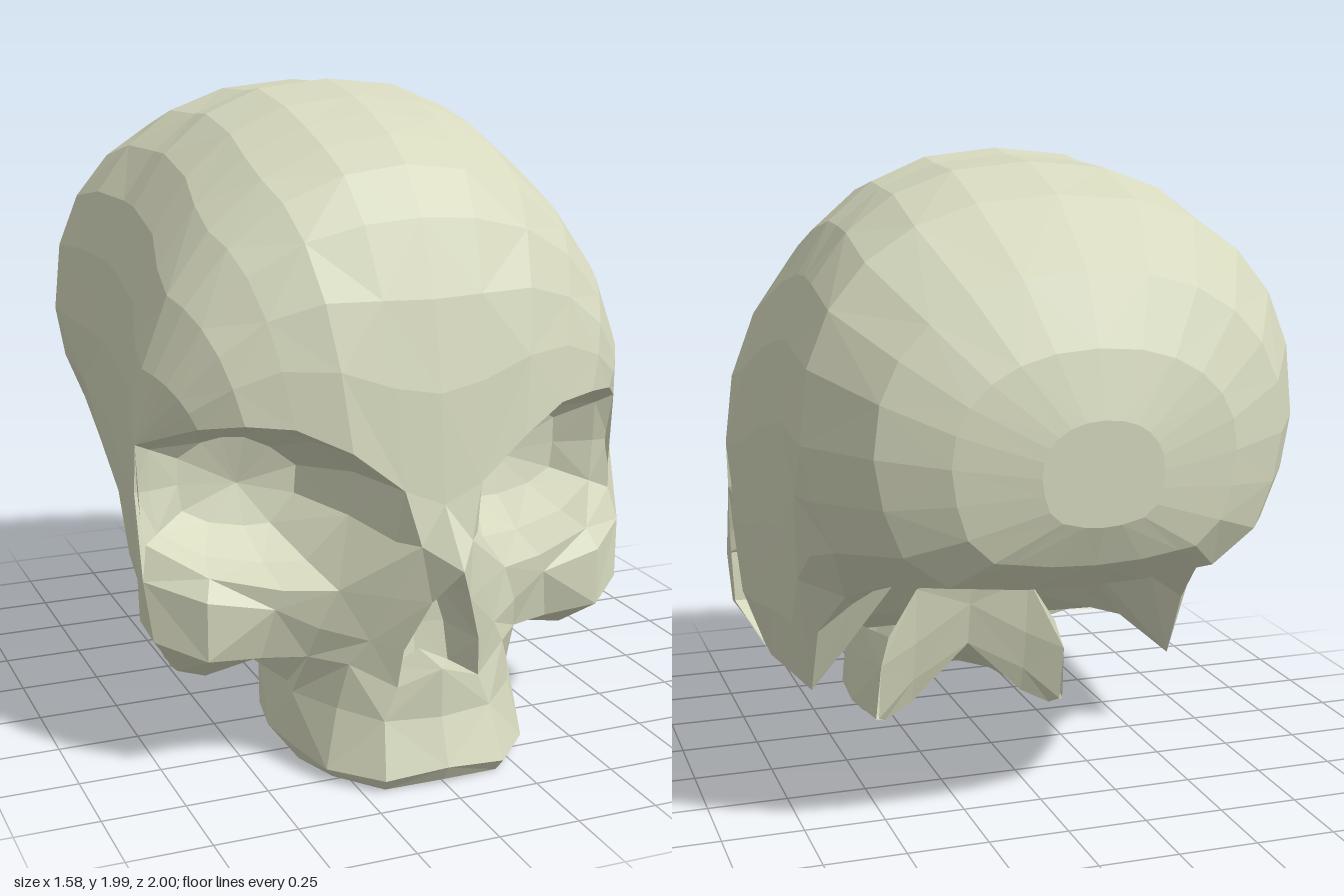
import * as THREE from 'three';

const bone = new THREE.MeshStandardMaterial({ color: 0xd6d9be, flatShading: true, side: THREE.DoubleSide });
const mix = (a, b, t) => a + (b - a) * t;

// Skin a grid of [x, y, z] rows for the +x half and mirror it to the other half
function mirroredSkin(name, rows) {
  const pos = [];
  const tri = (a, b, c) => {
    pos.push(...a, ...b, ...c);
    for (const p of [a, c, b]) pos.push(-p[0], p[1], p[2]);
  };
  for (let i = 0; i + 1 < rows.length; i++) {
    for (let j = 0; j + 1 < rows[i].length; j++) {
      const a = rows[i][j], b = rows[i][j + 1], c = rows[i + 1][j + 1], d = rows[i + 1][j];
      if ((i + j) % 2) { tri(a, d, b); tri(b, d, c); }
      else { tri(a, d, c); tri(a, c, b); }
    }
  }
  const geo = new THREE.BufferGeometry();
  geo.setAttribute('position', new THREE.Float32BufferAttribute(pos, 3));
  geo.computeVertexNormals();
  const mesh = new THREE.Mesh(geo, bone);
  mesh.name = name;
  return mesh;
}

// Upper arc of a coronal section, from the crown down to the widest point
function arc(z, top, w, yw, e) {
  return Array.from({ length: 7 }, (_, i) => {
    const a = i * Math.PI / 12;
    const s = i === 0 ? 0 : Math.sin(a) ** e, c = i === 6 ? 0 : Math.cos(a) ** e;
    return [w * s, yw + (top - yw) * c, z];
  });
}

// Full half section: arc, side wall, lower edge and hollow underside
function section([z, top, w, yw, xb, yb, yc, e]) {
  return [
    ...arc(z, top, w, yw, e),
    [mix(w, xb, 0.12), mix(yw, yb, 0.38), z],
    [mix(w, xb, 0.38), mix(yw, yb, 0.74), z],
    [xb, yb, z],
    [xb * 0.82, mix(yb, yc, 0.25), z],
    [xb * 0.45, mix(yb, yc, 0.8), z],
    [0, yc, z],
  ];
}

// z, crown y, half width, y of widest point, lower edge x and y, underside y, roundness
const sections = [
  [-1.00, 1.30, 0.18, 1.15, 0.12, 1.02, 1.00, 0.9],
  [-0.95, 1.49, 0.42, 1.18, 0.30, 0.91, 0.88, 0.9],
  [-0.85, 1.69, 0.61, 1.20, 0.40, 0.82, 0.79, 0.88],
  [-0.61, 1.88, 0.76, 1.20, 0.52, 0.77, 0.80, 0.85],
  [-0.36, 1.96, 0.75, 1.20, 0.58, 0.67, 0.84, 0.85],
  [-0.15, 1.97, 0.72, 1.18, 0.62, 0.50, 0.82, 0.85],
  [-0.04, 1.985, 0.72, 1.15, 0.62, 0.27, 0.78, 0.85],
  [0.18, 1.95, 0.73, 1.10, 0.65, 0.27, 0.58, 0.88],
  [0.32, 1.91, 0.77, 1.02, 0.68, 0.28, 0.42, 0.94],
  [0.45, 1.86, 0.79, 1.00, 0.68, 0.29, 0.30, 1.0],
];

// Brow edge from the middle outward
const brow = [
  [0, 0.85, 0.87], [0.12, 0.9, 0.86], [0.27, 1.02, 0.84], [0.42, 1.09, 0.78],
  [0.55, 1.1, 0.73], [0.66, 1.08, 0.64], [0.79, 1.0, 0.45],
];

// Lower rim of the eye socket from the outside inward
const lowerRim = [
  [0.79, 0.85, 0.43], [0.77, 0.7, 0.47], [0.62, 0.62, 0.6],
  [0.42, 0.58, 0.67], [0.27, 0.58, 0.73], [0.13, 0.74, 0.82],
];

function cranium() {
  const rows = sections.map(section);
  rows.unshift(rows[0].map(() => [0, 1.15, -1.0]));
  return mirroredSkin('cranium', rows);
}

// Curved sheet from the front arc of the cranium down to the brow
function forehead() {
  const back = section(sections.at(-1)).slice(0, 7);
  const rows = [0, 0.18, 0.38, 0.6, 0.8, 1].map((t) => back.map((p, i) => {
    const q = brow[i];
    const c = [mix(p[0], q[0], 0.5), mix(p[1], q[1], 0.14), mix(p[2], q[2], 0.88)];
    return p.map((v, k) => (1 - t) ** 2 * v + 2 * t * (1 - t) * c[k] + t * t * q[k]);
  }));
  return mirroredSkin('forehead', rows);
}

// Bowl behind the closed rim
function eyeSockets() {
  const rim = [...brow.slice(1), ...lowerRim];
  rim.push(rim[0]);
  const ring = (s, z, t) => rim.map((p) => [mix(0.44, p[0], s), mix(0.81, p[1], s), mix(p[2], z, t)]);
  return mirroredSkin('eyeSockets', [rim, ring(0.86, 0.4, 0.6), ring(0.55, 0.34, 0.95), ring(0, 0.32, 1)]);
}

function cheekbones() {
  return mirroredSkin('cheekbones', [
    [lowerRim[0], [0.79, 0.68, 0.43], [0.78, 0.45, 0.42], [0.68, 0.28, 0.4]],
    [lowerRim[1], [0.79, 0.6, 0.5], [0.77, 0.42, 0.53], [0.68, 0.29, 0.46]],
    [lowerRim[2], [0.64, 0.56, 0.64], [0.64, 0.38, 0.64], [0.6, 0.27, 0.48]],
    [lowerRim[3], [0.44, 0.52, 0.66], [0.47, 0.36, 0.62], [0.44, 0.29, 0.46]],
    [lowerRim[4], [0.32, 0.46, 0.7], [0.34, 0.36, 0.66], [0.36, 0.24, 0.54]],
  ]);
}

// Edge of the nose opening from the tip down to the spine
const noseEdge = [
  [0, 0.69, 1.0], [0.06, 0.58, 0.92], [0.12, 0.42, 0.86], [0.13, 0.3, 0.84], [0, 0.35, 0.87],
];

function noseBridge() {
  return mirroredSkin('noseBridge', [
    [brow[0], [0.06, 0.875, 0.865], brow[1]],
    [noseEdge[0], [0.08, 0.74, 0.89], lowerRim[5]],
    [noseEdge[1], [0.14, 0.58, 0.85], lowerRim[4]],
    [noseEdge[2], [0.2, 0.44, 0.8], [0.32, 0.46, 0.7]],
    [noseEdge[3], [0.25, 0.36, 0.76], [0.34, 0.36, 0.66]],
  ]);
}

function noseCavity() {
  const inner = noseEdge.map(([x, y], i) => [x * 0.75, y, 0.64 + i * 0.02]);
  const middle = inner.map(([, y, z]) => [0, y, z - 0.02]);
  return mirroredSkin('noseCavity', [noseEdge, inner, middle]);
}

// Upper jaw: outer wall, biting edge and palate, each row running front to back
function upperJaw() {
  return mirroredSkin('upperJaw', [
    [[0, 0.35, 0.87], [0.13, 0.3, 0.84], [0.25, 0.36, 0.76], [0.34, 0.36, 0.66], [0.34, 0.32, 0.42], [0.3, 0.34, 0.2]],
    [[0, 0.2, 0.87], [0.17, 0.2, 0.84], [0.28, 0.22, 0.74], [0.36, 0.22, 0.58], [0.36, 0.22, 0.42], [0.33, 0.24, 0.19]],
    [[0, 0.06, 0.92], [0.19, 0.04, 0.9], [0.32, 0.04, 0.76], [0.37, 0.06, 0.6], [0.38, 0.05, 0.42], [0.34, 0.04, 0.23]],
    [[0, 0.01, 0.89], [0.18, 0, 0.87], [0.29, 0, 0.73], [0.34, 0, 0.58], [0.34, 0.01, 0.41], [0.3, 0.02, 0.26]],
    [[0, 0.03, 0.78], [0.12, 0.03, 0.76], [0.2, 0.03, 0.66], [0.23, 0.05, 0.56], [0.23, 0.05, 0.4], [0.2, 0.07, 0.28]],
    [[0, 0.1, 0.72], [0, 0.13, 0.68], [0, 0.16, 0.6], [0, 0.19, 0.5], [0, 0.22, 0.4], [0, 0.27, 0.26]],
  ]);
}

// Back of the jaw rising into the hollow underside
function jawBack() {
  return mirroredSkin('jawBack', [
    [[0.3, 0.02, 0.26], [0.33, 0.04, 0.23], [0.33, 0.24, 0.19], [0.3, 0.34, 0.2]],
    [[0.2, 0.07, 0.28], [0.2, 0.16, 0.25], [0.2, 0.3, 0.22], [0.2, 0.5, 0.2]],
    [[0, 0.27, 0.26], [0, 0.32, 0.25], [0, 0.42, 0.23], [0, 0.56, 0.2]],
  ]);
}

export function createModel() {
  const skull = new THREE.Group();
  skull.name = 'skull';
  skull.add(cranium(), forehead(), eyeSockets(), cheekbones(), noseBridge(), noseCavity(), upperJaw(), jawBack());
  return skull;
}
